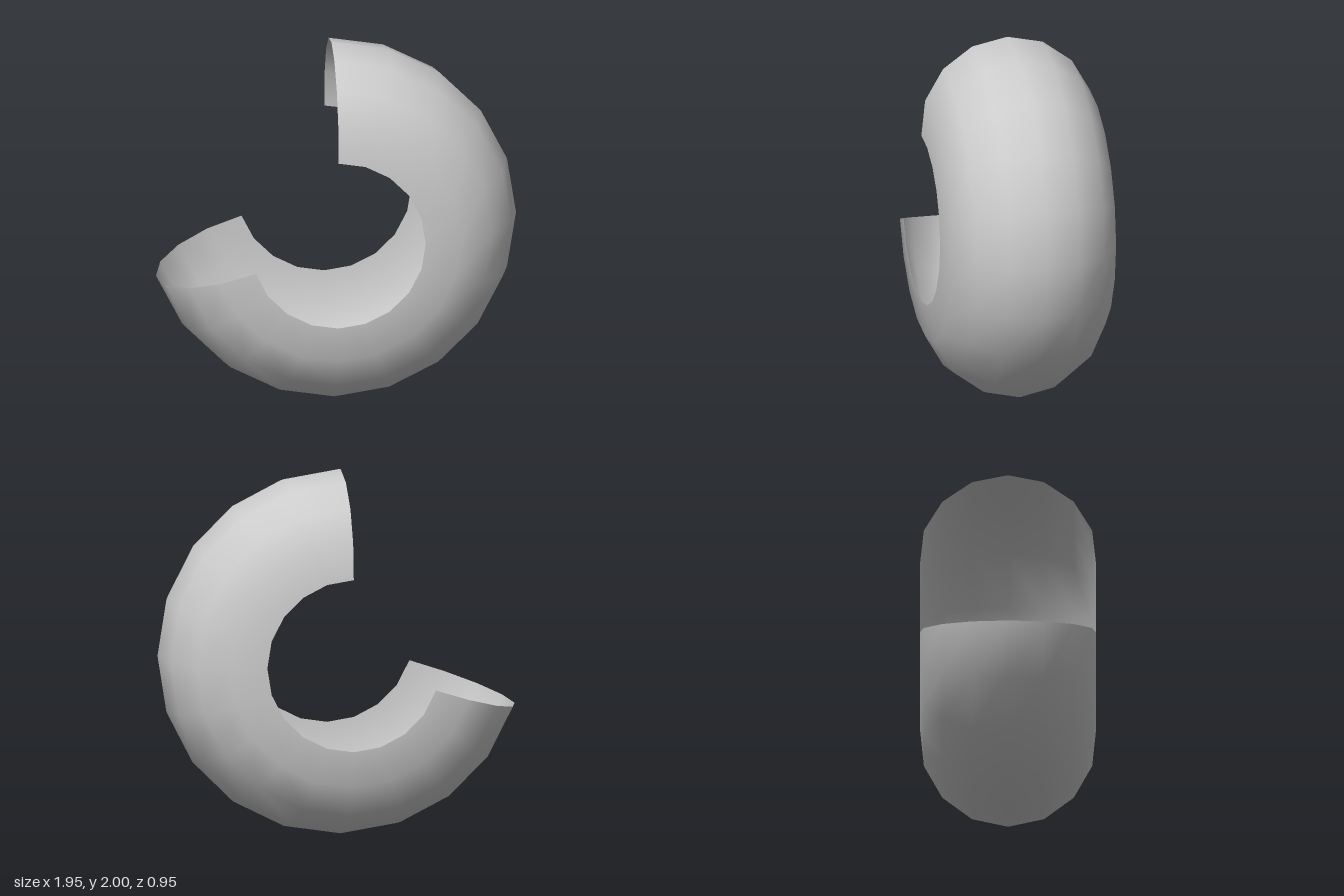
import * as THREE from 'three';

const deg = THREE.MathUtils.degToRad;

export function createModel() {
  const group = new THREE.Group();
  group.name = 'openRingShell';

  // Cross-section: the outer part of a 15-sided tube, open towards the axis
  const tube = 0.478, ring = 1 - tube;
  const profile = [];
  for (let i = -4; i <= 4; i++) {
    const a = deg(24 * i);
    profile.push(new THREE.Vector2(ring + tube * Math.cos(a), tube * Math.sin(a)));
  }

  // Sweep 14 of 20 steps round the axis, then stand the ring upright
  const geometry = new THREE.LatheGeometry(profile, 14, deg(-72), deg(252));
  geometry.rotateX(Math.PI / 2);
  geometry.translate(-0.0245, 1, 0);

  const material = new THREE.MeshStandardMaterial({ color: 0xcccccc, side: THREE.DoubleSide });
  const shell = new THREE.Mesh(geometry, material);
  shell.name = 'curvedShell';
  group.add(shell);
  return group;
}
